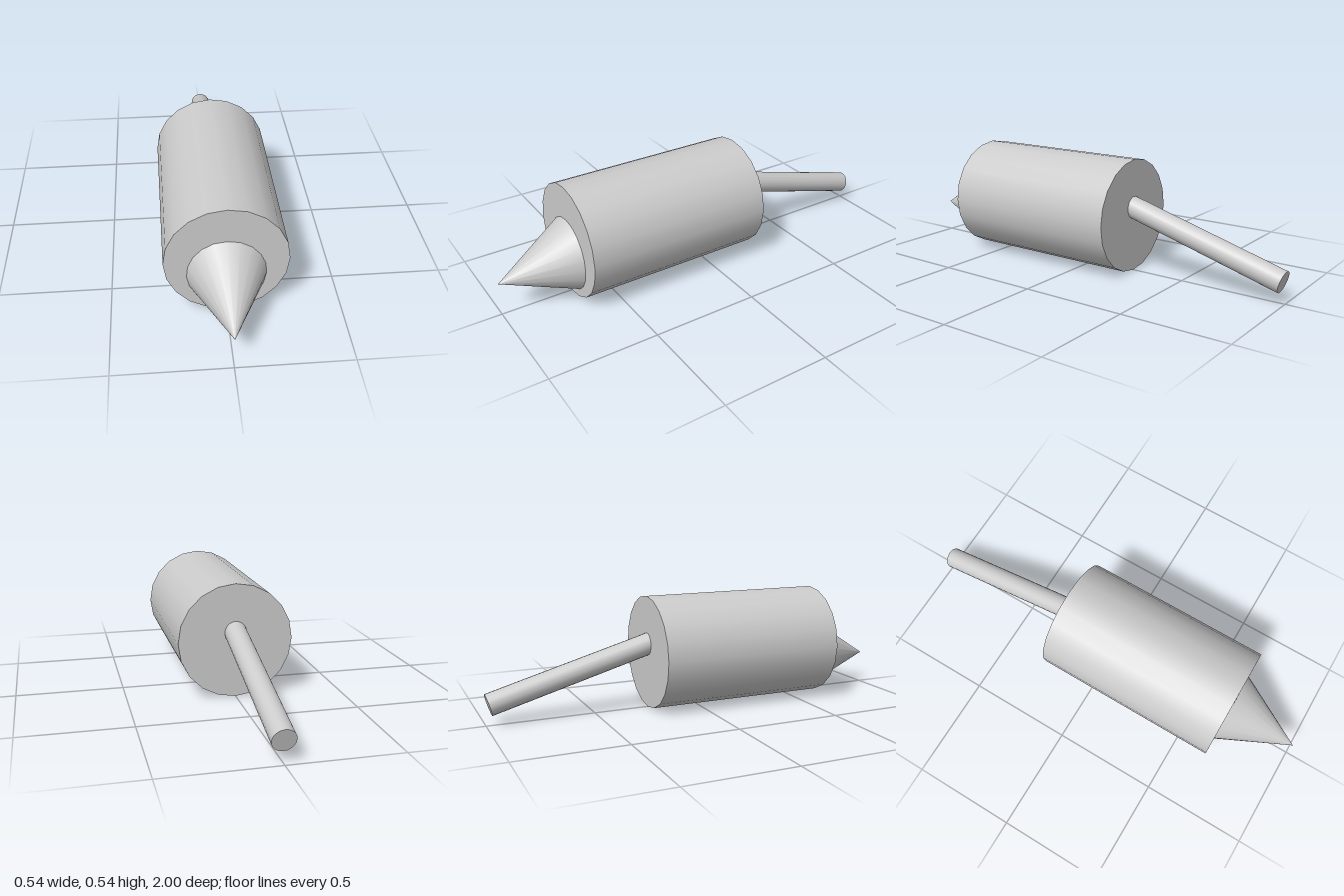
import * as THREE from 'three';

const SIDES = 20;

export function createModel() {
  const group = new THREE.Group();
  const material = new THREE.MeshStandardMaterial({ color: 0xcccccc });

  // Adds a round part whose +y end sits at (0, y, z), turned about x
  function addRound(name, endRadius, startRadius, length, y, z, turn) {
    const geometry = new THREE.CylinderGeometry(endRadius, startRadius, length, SIDES);
    geometry.translate(0, -length / 2, 0);
    const mesh = new THREE.Mesh(geometry, material);
    mesh.name = name;
    mesh.rotation.x = turn;
    mesh.position.set(0, y, z);
    group.add(mesh);
  }

  // Main barrel lying along z
  addRound('body', 0.268, 0.268, 0.896, 0.268, 0.661, Math.PI / 2);

  // Pointed nose, dipping slightly
  addRound('nose', 0, 0.179, 0.358, 0.16, 1, Math.PI / 2 + 0.1);

  // Thin rod sloping down from the back
  addRound('tail', 0.0515, 0.0515, 0.895, 0.095, -0.986, -(Math.PI / 2 + 0.275));

  return group;
}
